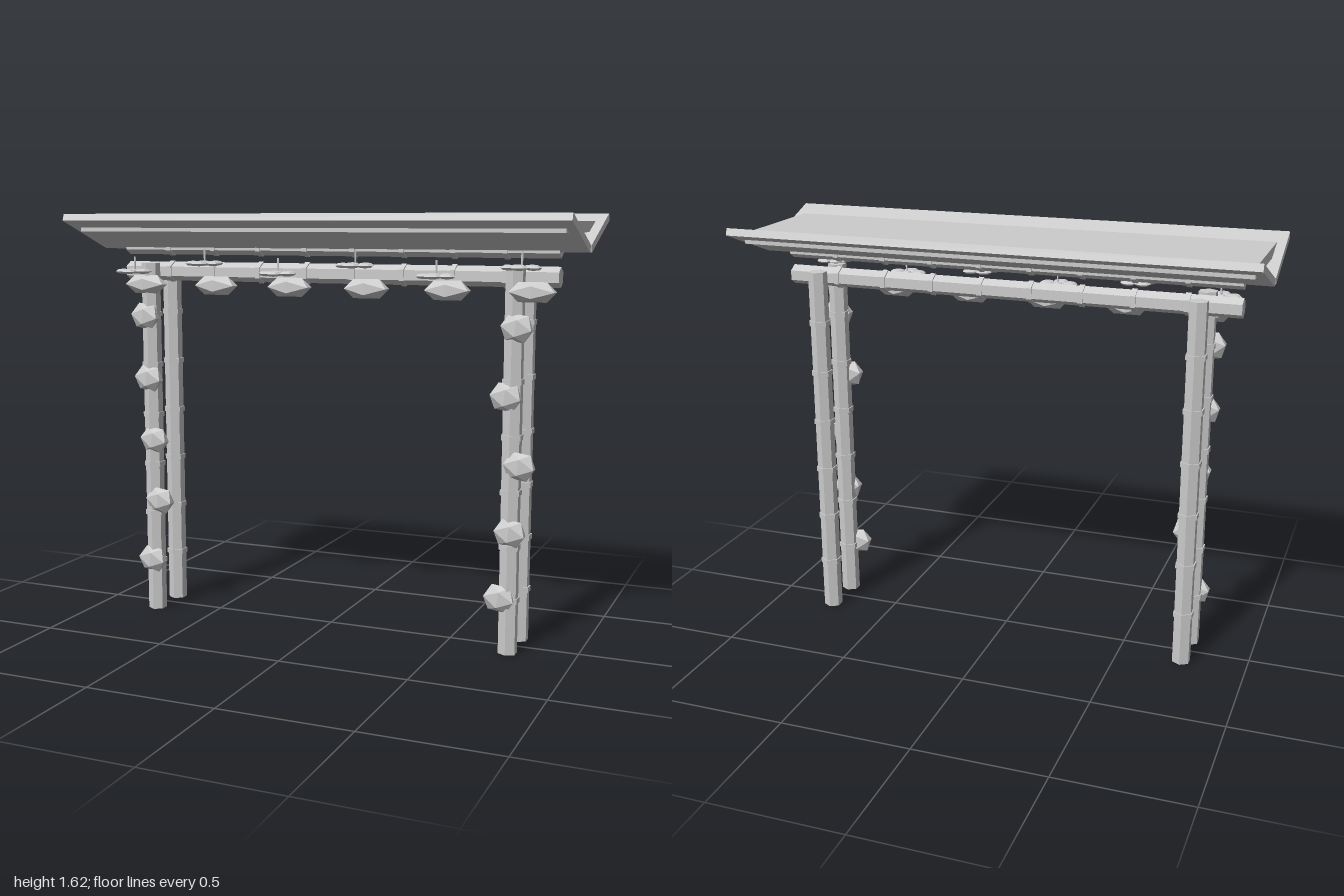
import * as THREE from 'three';

export function createModel() {
  const model = new THREE.Group();
  model.name = 'gateway';
  const paleGrey = new THREE.MeshStandardMaterial({ color: 0xcccccc, flatShading: true });
  paleGrey.name = 'paleGrey';

  const add = (parent, name, geometry, x = 0, y = 0, z = 0) => {
    const mesh = new THREE.Mesh(geometry, paleGrey);
    mesh.name = name;
    mesh.position.set(x, y, z);
    parent.add(mesh);
    return mesh;
  };

  // Six-sided bamboo cane standing on its origin, with raised rings between segments
  function bamboo(name, length, radius, segments) {
    const cane = new THREE.Group();
    cane.name = name;
    add(cane, 'cane', new THREE.CylinderGeometry(radius, radius, length, 6), 0, length / 2);
    for (let i = 1; i < segments; i++) {
      add(cane, 'ring', new THREE.CylinderGeometry(radius * 1.13, radius * 1.13, 0.02, 6), 0, (length * i) / segments);
    }
    model.add(cane);
    return cane;
  }

  // Two pairs of posts
  for (const x of [-0.75, 0.75]) {
    for (const z of [-0.085, 0.085]) {
      bamboo(z > 0 ? 'frontPost' : 'backPost', 1.43, 0.037, 7).position.set(x, 0, z);
    }
  }

  // Crossbeam and ridge beam, laid along x with a corner upward
  for (const [name, y] of [['crossbeam', 1.395], ['ridgeBeam', 1.5]]) {
    const beam = bamboo(name, 1.79, 0.038, 9);
    beam.rotation.set(Math.PI / 2, 0, -Math.PI / 2, 'ZXY');
    beam.rotation.set(0, 0, -Math.PI / 2);
    beam.children.forEach((part) => part.geometry.rotateY(Math.PI / 6));
    beam.position.set(-0.895, y, 0);
  }

  // Roof: two upswept panels with a flat slab laid in the valley
  const slope = THREE.MathUtils.degToRad(20);
  for (const side of [-1, 1]) {
    const panel = add(model, 'roofPanel', new THREE.BoxGeometry(2, 0.028, 0.327), 0, 1.554, side * 0.166);
    panel.rotation.x = -side * slope;
  }
  add(model, 'roofSlab', new THREE.BoxGeometry(1.93, 0.04, 0.5), 0, 1.575, 0);

  // Faceted leaf clump, given by its half width, height and depth
  function leaf(name, x, y, z, w, h, d, tilt) {
    const geometry = new THREE.IcosahedronGeometry(1 / 0.85, 0).scale(w, h, d);
    add(model, name, geometry, x, y, z).rotation.z = tilt;
  }

  // Leaves climbing the front posts
  const climb = [
    [-0.755, 0.72], [-0.715, 0.755], [-0.735, 0.785], [-0.755, 0.73], [-0.765, 0.765],
  ];
  climb.forEach((pair, i) => {
    for (const x of pair) leaf('vineLeaf', x, 0.213 + i * 0.251, 0.11, 0.057, 0.049, 0.027, -0.15);
  });

  // Hanging flowers: five flat petals round a heart, a thin stem and a leaf below
  for (let i = 0; i < 6; i++) {
    const x = -0.787 + i * 0.315;
    const flower = new THREE.Group();
    flower.name = 'flower';
    flower.position.set(x, i % 2 ? 1.433 : 1.398, 0.145);
    for (let p = 0; p < 5; p++) {
      const a = (p / 5) * Math.PI * 2;
      const petal = new THREE.SphereGeometry(0.032, 8, 4).scale(1, 0.33, 1);
      add(flower, 'petal', petal, Math.sin(a) * 0.046, 0, Math.cos(a) * 0.046);
    }
    add(flower, 'heart', new THREE.SphereGeometry(0.02, 8, 4).scale(1, 0.5, 1));
    add(flower, 'stem', new THREE.CylinderGeometry(0.004, 0.004, 0.06, 5), 0, 0.028);
    model.add(flower);
    leaf('beamLeaf', x + 0.032, 1.346, 0.114, 0.083, 0.036, 0.034, 0);
  }

  return model;
}
